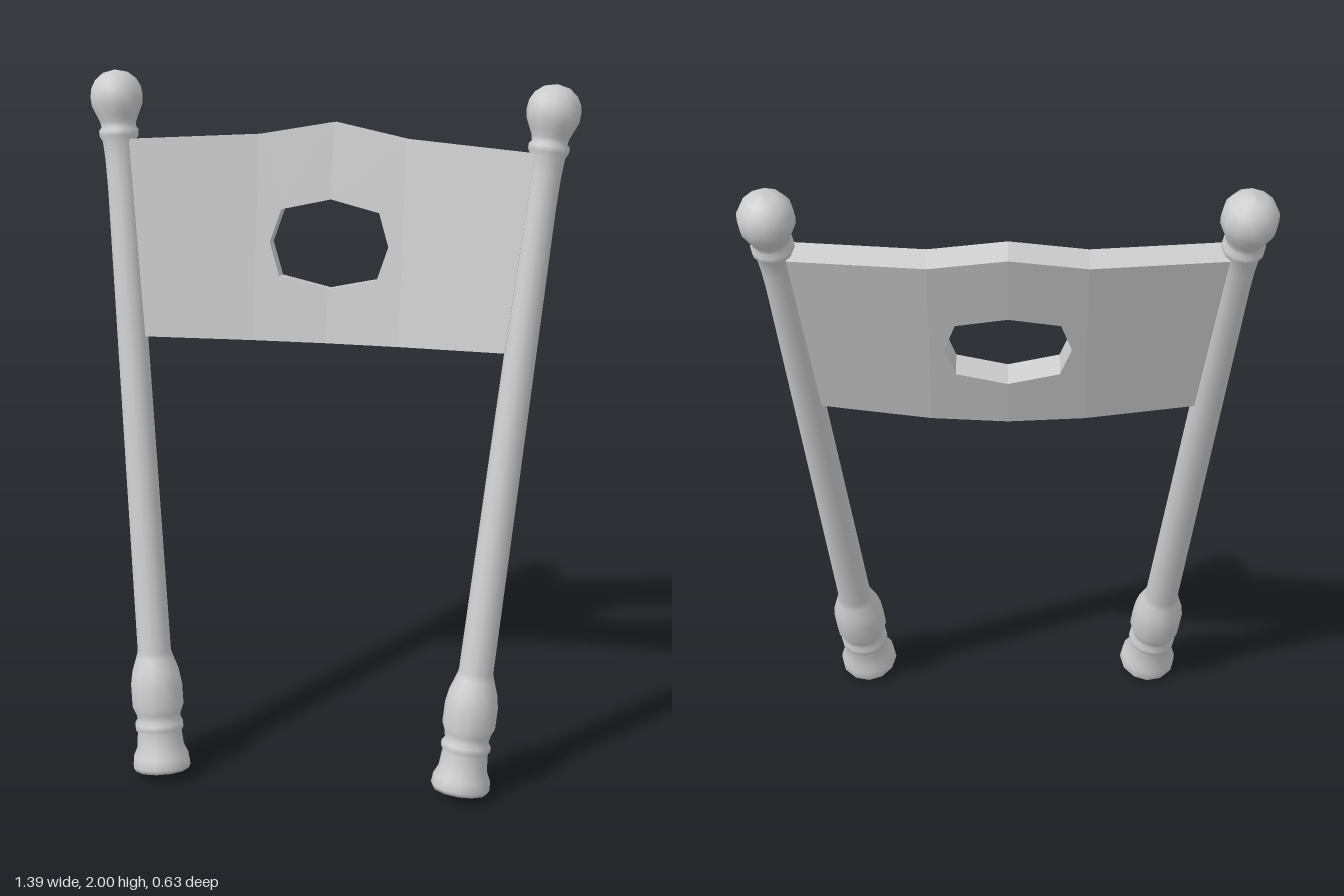
import * as THREE from 'three';

const material = new THREE.MeshStandardMaterial({ color: 0xcccccc });

// Turned post: radius and distance along the post axis
const postProfile = [
  [0, 0], [0.08, 0], [0.086, 0.012], [0.083, 0.04], [0.071, 0.065], [0.066, 0.115],
  [0.072, 0.125], [0.072, 0.14], [0.064, 0.152], [0.067, 0.17], [0.077, 0.195],
  [0.077, 0.255], [0.07, 0.295], [0.056, 0.335], [0.05, 0.355],
  [0.043, 1.7], [0.045, 1.79], [0.049, 1.84], [0.057, 1.855], [0.058, 1.87], [0.05, 1.88],
  [0.053, 1.895], [0.062, 1.915], [0.074, 1.942], [0.076, 1.965], [0.073, 1.99],
  [0.06, 2.014], [0.036, 2.033], [0, 2.041],
].map(([r, s]) => new THREE.Vector2(r, s));

function makePost(side) {
  const post = new THREE.Mesh(new THREE.LatheGeometry(postProfile, 12), material);
  const axis = new THREE.Vector3(side * 0.18, 1.904, -0.457).normalize();
  post.quaternion.setFromUnitVectors(new THREE.Vector3(0, 1, 0), axis);
  post.position.set(side * 0.44, 0.021, 0.232);
  post.name = side > 0 ? 'leftPost' : 'rightPost';
  return post;
}

// Backrest panel: two flat strips per half, with the bends at x = 0 and x = SEAM
const SEAM = 0.21;
const centreStrip = [
  [0, 1.257], [SEAM, 1.26], [SEAM, 1.83], [0, 1.867],
  [0, 1.655], [0.14, 1.625], [0.17, 1.533], [0.14, 1.44], [0, 1.408],
];
const outerStrip = [[SEAM, 1.26], [0.515, 1.271], [0.575, 1.817], [SEAM, 1.83]];

// Leaning, bowed surface; the back lies square to the lean
function panelPoint([x, y], back) {
  const d = Math.abs(x);
  const bow = d < SEAM ? 0.012 * d / SEAM : 0.012 + 0.15 * (d - SEAM);
  const z = -0.245 + bow - 0.247 * (y - 1.865);
  return back ? [x, y - 0.017, z - 0.07] : [x, y, z];
}

function makePanel() {
  const positions = [];
  const face = (...points) => points.forEach((p) => positions.push(...p));
  for (const side of [1, -1]) {
    for (const strip of [centreStrip, outerStrip]) {
      const outline = strip.map(([x, y]) => [side * x, y]);
      if (side < 0) outline.reverse();
      const front = outline.map((p) => panelPoint(p, false));
      const back = outline.map((p) => panelPoint(p, true));
      // Front and back faces
      const flat = outline.map(([x, y]) => new THREE.Vector2(x, y));
      for (const [a, b, c] of THREE.ShapeUtils.triangulateShape(flat, [])) {
        face(front[a], front[b], front[c]);
        face(back[a], back[c], back[b]);
      }
      // Rim and hole walls, leaving the inner seams open
      outline.forEach(([x], i) => {
        const j = (i + 1) % outline.length;
        if (x === outline[j][0]) return;
        face(front[i], back[i], back[j]);
        face(front[i], back[j], front[j]);
      });
    }
  }
  const geometry = new THREE.BufferGeometry();
  geometry.setAttribute('position', new THREE.Float32BufferAttribute(positions, 3));
  geometry.computeVertexNormals();
  const panel = new THREE.Mesh(geometry, material);
  panel.name = 'backrestPanel';
  return panel;
}

export function createModel() {
  const group = new THREE.Group();
  group.name = 'chairBack';
  group.add(makePost(1), makePost(-1), makePanel());
  return group;
}
